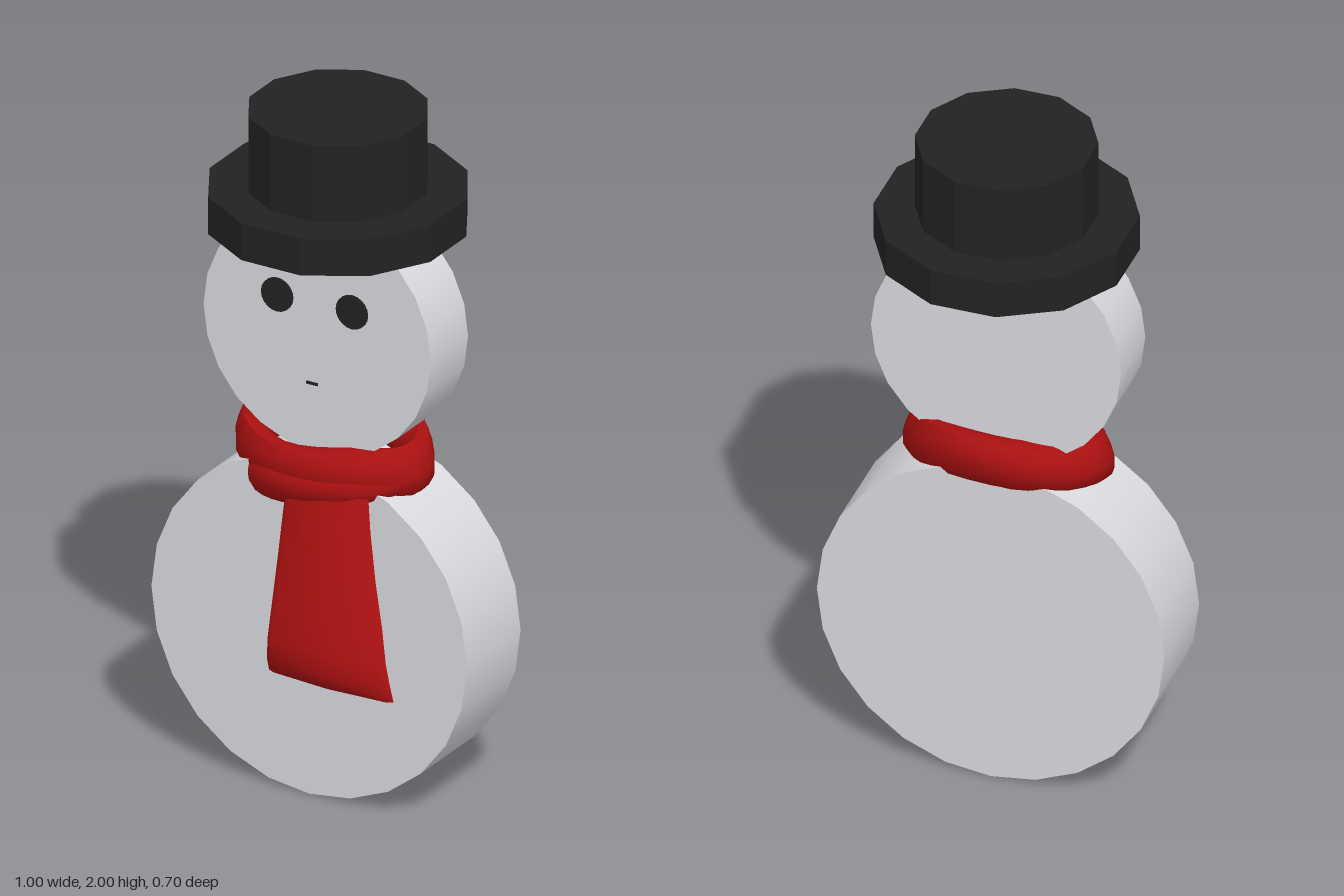
import * as THREE from 'three';
import { toCreasedNormals } from 'three/addons/utils/BufferGeometryUtils.js';

const mat = (name, color, extra = {}) => {
  const m = new THREE.MeshStandardMaterial({ color, ...extra });
  m.name = name;
  return m;
};

// Skin a list of cross-section loops, each a list of [x, y, z]
function loft(rings) {
  const n = rings[0].length, index = [];
  for (let i = 0; i < rings.length - 1; i++) {
    for (let j = 0; j < n; j++) {
      const a = i * n + j, b = i * n + (j + 1) % n;
      index.push(a, a + n, b + n, a, b + n, b);
    }
  }
  const g = new THREE.BufferGeometry();
  g.setAttribute('position', new THREE.Float32BufferAttribute(rings.flat(2), 3));
  g.setIndex(index);
  return toCreasedNormals(g, 0.9);
}

// Cloth roll following an ellipse around the neck from angle a0 to a1
function clothRoll(a0, a1, steps, shape) {
  const rings = [];
  for (let i = 0; i <= steps; i++) {
    const t = i / steps, a = a0 + (a1 - a0) * t;
    const { rx, rz, y, thick, high } = shape(a, t);
    const ring = [];
    for (let j = 0; j < 12; j++) {
      const b = j / 12 * Math.PI * 2;
      const fold = 1 + 0.1 * Math.sin(3 * b + 2 * a);
      const out = thick * fold * Math.cos(b);
      ring.push([Math.sin(a) * (rx + out), y + high * fold * Math.sin(b), 0.01 + Math.cos(a) * (rz + out)]);
    }
    rings.push(ring);
  }
  return loft(rings);
}

export function createModel() {
  const snow = mat('snow', 0xd9dade);
  const black = mat('hat black', 0x222222, { flatShading: true });
  const red = mat('scarf red', 0xa81010);
  const model = new THREE.Group();
  model.name = 'snowman';
  const add = (parent, name, geometry, material, x = 0, y = 0, z = 0) => {
    const mesh = new THREE.Mesh(geometry, material);
    mesh.name = name;
    mesh.position.set(x, y, z);
    parent.add(mesh);
    return mesh;
  };
  // Round slab with its flat faces to front and back
  const disc = (r, depth, sides) => new THREE.CylinderGeometry(r, r, depth, sides).rotateX(Math.PI / 2);

  // Body and head
  add(model, 'body', disc(0.5, 0.28, 24), snow, 0, 0.505, 0.005);
  add(model, 'head', disc(0.36, 0.195, 24), snow, 0, 1.37, 0.006);

  // Face
  add(model, 'rightEye', disc(0.05, 0.008, 20), black, -0.125, 1.455, 0.105);
  add(model, 'leftEye', disc(0.05, 0.008, 20), black, 0.112, 1.46, 0.105);
  add(model, 'mouth', new THREE.BoxGeometry(0.035, 0.008, 0.006), black, -0.015, 1.215, 0.104);

  // Hat: twelve-sided brim and crown
  const hat = new THREE.Group();
  hat.name = 'hat';
  model.add(hat);
  const prism = (r, h) => new THREE.CylinderGeometry(r, r, h, 12).rotateY(Math.PI / 12);
  add(hat, 'brim', prism(0.362, 0.11), black, 0, 1.717, -0.005);
  add(hat, 'crown', prism(0.25, 0.23), black, 0, 1.885, -0.005);

  // Scarf
  const scarf = new THREE.Group();
  scarf.name = 'scarf';
  model.add(scarf);
  add(scarf, 'neckWrap', clothRoll(0, Math.PI * 2, 28, a => ({
    rx: 0.25, rz: 0.135, thick: 0.05, high: 0.075,
    y: 1.0 - 0.03 * Math.cos(a) + 0.008 * Math.sin(3 * a),
  })), red);
  // Lower overlapping fold across the front, tapering to its ends
  add(scarf, 'frontFold', clothRoll(-0.95, 1.35, 16, (a, t) => {
    const taper = Math.sqrt(Math.max(0, 1 - Math.pow(2 * t - 1, 6)));
    return { rx: 0.255, rz: 0.15, thick: 0.045 * taper, high: 0.055 * taper, y: 0.92 + 0.07 * t * t };
  }), red);

  // Hanging end: y, left and right edge x, edge z of each, thickness
  const rows = [
    [0.95, -0.06, 0.19, 0.16, 0.15, 0.03],
    [0.86, -0.055, 0.215, 0.19, 0.18, 0.03],
    [0.74, -0.045, 0.265, 0.235, 0.235, 0.03],
    [0.63, -0.035, 0.31, 0.28, 0.275, 0.03],
    [0.54, -0.028, 0.34, 0.315, 0.305, 0.035],
    [0.48, -0.025, 0.36, 0.325, 0.315, 0.035],
    [0.435, -0.03, 0.368, 0.305, 0.31, 0.02],
  ];
  const sections = rows.map(([y, x0, x1, z0, z1, t]) => {
    const xm = (x0 + x1) / 2, zm = (z0 + z1) / 2 + 0.012;
    return [
      [x0, y, z0], [x0 + 0.02, y, z0 + t / 2], [xm, y, zm + t / 2], [x1 - 0.02, y, z1 + t / 2],
      [x1, y, z1], [x1 - 0.02, y, z1 - t / 2], [xm, y, zm - t / 2], [x0 + 0.02, y, z0 - t / 2],
    ];
  });
  // Close the hem
  sections.push(sections.at(-1).map(() => [0.17, 0.43, 0.315]));
  add(scarf, 'hangingEnd', loft(sections), red);

  return model;
}
